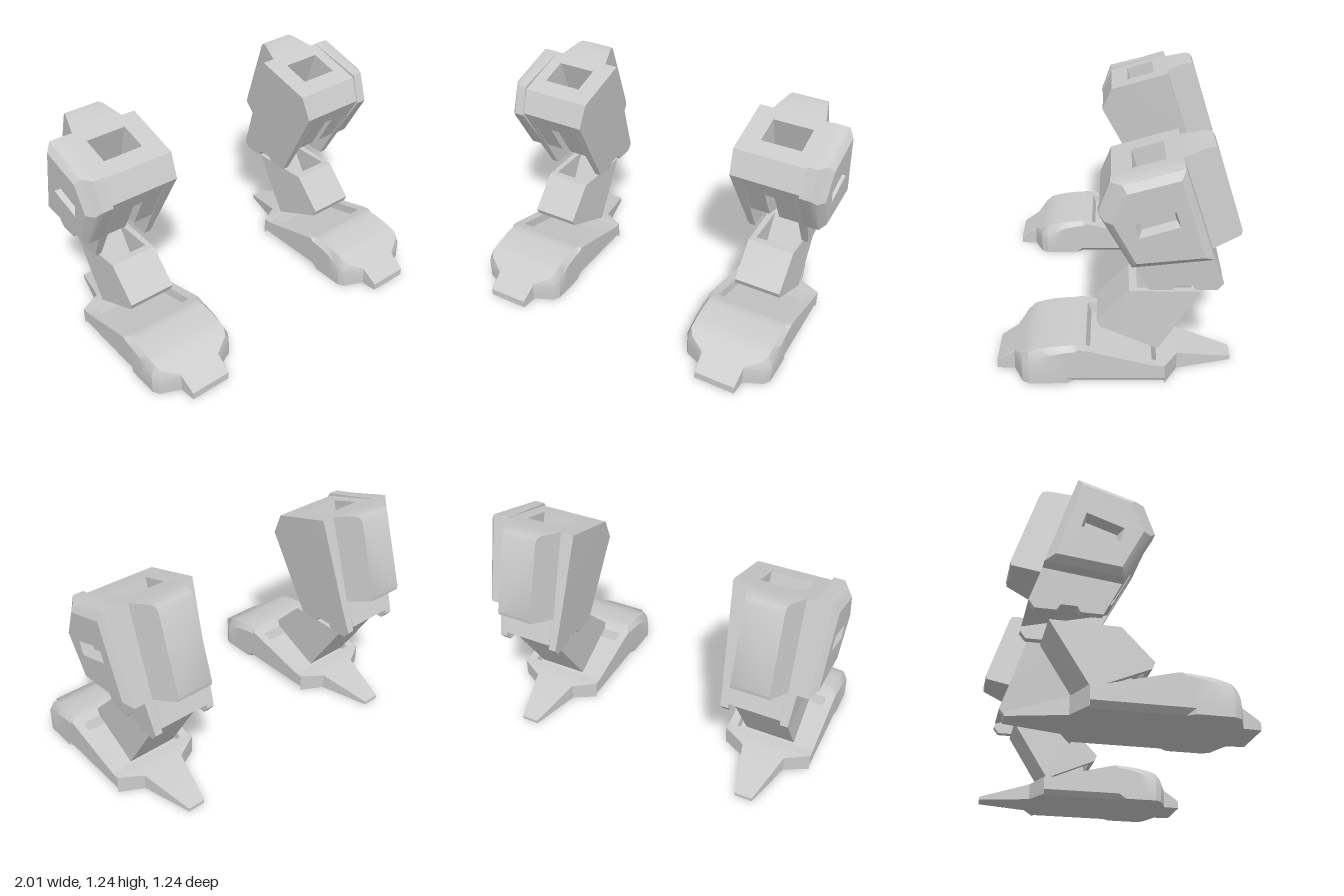
import * as THREE from 'three';
import { toCreasedNormals } from 'three/addons/utils/BufferGeometryUtils.js';

const material = new THREE.MeshStandardMaterial({ color: 0xcccccc });
const LEG_X = 0.69;

// Side profile given as [z, y] points
const shapeOf = (pts) => new THREE.Shape(pts.map(([z, y]) => new THREE.Vector2(-z, y)));

// Side profile extruded from x0 to x1
function slab(pts, x0, x1) {
  const g = new THREE.ExtrudeGeometry(shapeOf(pts), { depth: x1 - x0, bevelEnabled: false });
  return g.rotateY(Math.PI / 2).translate(x0, 0, 0);
}

// Skin over equal-length rings of [x, y, z] points, with optional end caps
function loft(rings, capStart = true, capEnd = true) {
  const out = [];
  const n = rings[0].length;
  const tri = (a, b, c) => out.push(...a, ...b, ...c);
  for (let k = 0; k + 1 < rings.length; k++) {
    for (let i = 0; i < n; i++) {
      const j = (i + 1) % n;
      const [a, b, c, d] = [rings[k][i], rings[k][j], rings[k + 1][j], rings[k + 1][i]];
      tri(a, b, c);
      tri(a, c, d);
    }
  }
  const last = rings[rings.length - 1];
  for (let i = 1; i + 1 < n; i++) {
    if (capStart) tri(rings[0][0], rings[0][i + 1], rings[0][i]);
    if (capEnd) tri(last[0], last[i], last[i + 1]);
  }
  const g = new THREE.BufferGeometry();
  g.setAttribute('position', new THREE.Float32BufferAttribute(out, 3));
  return g;
}

// Moves every vertex by a rule that edits the vector in place
function reshape(g, rule) {
  const p = g.attributes.position;
  const v = new THREE.Vector3();
  for (let i = 0; i < p.count; i++) {
    rule(v.fromBufferAttribute(p, i));
    p.setXYZ(i, v.x, v.y, v.z);
  }
  return g;
}

// Clean, creased geometry; side -1 mirrors it in x and flips the corner order
function finish(g, side) {
  g = g.index ? g.toNonIndexed() : g;
  g.deleteAttribute('uv');
  if (side < 0) {
    const a = g.attributes.position.array;
    for (let i = 0; i < a.length; i += 9) {
      for (let k = 0; k < 3; k++) [a[i + 3 + k], a[i + 6 + k]] = [a[i + 6 + k], a[i + 3 + k]];
      for (let k = 0; k < 9; k += 3) a[i + k] *= -1;
    }
  }
  return toCreasedNormals(g, 0.5);
}

// Foot: stations [z, half width, side height, top height, edge bevel, undercut, socket depth]
function footGeometry() {
  const stations = [
    [-0.61, 0.05, 0.02, 0.02, 0, 0, 0],
    [-0.32, 0.125, 0.093, 0.093, 0, 0, 0],
    [-0.25, 0.255, 0.105, 0.105, 0, 0, 0],
    [-0.249, 0.255, 0.105, 0.105, 0, 0.03, 0],
    [-0.21, 0.255, 0.107, 0.107, 0, 0.03, 0],
    [-0.19, 0.255, 0.11, 0.11, 0, 0.03, 0.05],
    [0.13, 0.255, 0.193, 0.193, 0, 0.03, 0.05],
    [0.15, 0.255, 0.198, 0.198, 0, 0.03, 0],
    [0.185, 0.255, 0.205, 0.207, 0.005, 0.03, 0],
    [0.21, 0.255, 0.19, 0.215, 0.025, 0.03, 0],
    [0.25, 0.255, 0.187, 0.213, 0.025, 0, 0],
    [0.33, 0.255, 0.17, 0.205, 0.025, 0, 0],
    [0.39, 0.255, 0.14, 0.193, 0.025, 0, 0],
    [0.44, 0.255, 0.12, 0.177, 0.025, 0, 0],
    [0.475, 0.235, 0.11, 0.15, 0.025, 0, 0],
    [0.525, 0.125, 0.105, 0.11, 0.005, 0, 0],
    [0.605, 0.12, 0.052, 0.054, 0.002, 0, 0],
    [0.618, 0.118, 0.04, 0.042, 0.002, 0, 0],
  ];
  return loft(stations.map(([z, h, ys, yt, bevel, under, depth]) => {
    const p = Math.min(0.205, h - bevel);
    const half = [[h - under, 0], [h, Math.min(0.03, ys)], [h, ys], [h - bevel, yt], [p, yt], [p * 0.97, yt - depth]];
    const left = half.map(([x, y]) => [-x, y]).reverse();
    return [...half, ...left].map(([x, y]) => [x, y, z]);
  }));
}

// Ankle: a slanted square sleeve, open at top and bottom
function ankleGeometries() {
  const wall = [[-0.07, 0.477], [0.095, 0.303], [0.08, 0.267], [-0.22, 0.135], [-0.43, 0.477]];
  const front = [[-0.07, 0.477], [0.095, 0.303], [0.08, 0.267], [0.05, 0.255], [0.055, 0.3], [-0.11, 0.477]];
  const back = [[-0.43, 0.477], [-0.385, 0.477], [-0.18, 0.153], [-0.22, 0.135]];
  // slight chamfer of the outer corners along the front face
  const chamfer = (v) => {
    if (Math.abs(v.x) > 0.13 && v.z > -0.1) v.x *= 0.95;
  };
  return [
    reshape(slab(wall, -0.143, -0.105), chamfer),
    slab(front, -0.105, 0.105),
    slab(back, -0.105, 0.105),
    reshape(slab(wall, 0.105, 0.143), chamfer),
  ];
}

// Shin: slices across x, giving the side prongs, the top pocket and the front slot
function shinGeometries() {
  const brow = [[0.075, 0.977], [0.02, 1.11]];
  const crown = [-0.32, 1.207];
  const pocket = [[-0.08, 1.139], [-0.18, 0.82], [-0.34, 0.865], [-0.24, 1.184]];
  const under = [[-0.53, 0.575], [-0.08, 0.69]];
  const prong = [...brow, crown, [-0.475, 0.725], [-0.535, 0.55], [-0.505, 0.51],
    [-0.4, 0.51], [-0.38, 0.54], [-0.3, 0.54], [-0.28, 0.51], [-0.17, 0.51]];
  const solid = [...brow, crown, [-0.475, 0.725], ...under];
  const pocketed = [...brow, ...pocket, crown, [-0.475, 0.725], ...under];
  const slotFront = [...brow, pocket[0], [-0.161, 0.88], [0.023, 0.88]];
  const slotBack = [pocket[2], pocket[3], crown, [-0.475, 0.725], under[0], [-0.22, 0.654], [-0.22, 0.833]];
  const taper = (v) => {
    if (Math.abs(v.x) > 0.2) v.x -= Math.sign(v.x) * Math.max(0, 1.15 - v.y) * 0.075;
  };
  const list = [slab(slotFront, -0.028, 0.028), slab(slotBack, -0.028, 0.028)];
  for (const s of [-1, 1]) {
    const slice = (pts, a, b) => list.push(slab(pts, Math.min(s * a, s * b), Math.max(s * a, s * b)));
    slice(pocketed, 0.028, 0.115);
    slice(solid, 0.115, 0.143);
    slice(prong, 0.143, 0.23);
  }
  return list.map((g) => reshape(g, taper));
}

// Calf: block on the sloping back, narrowing outward
function calfGeometry() {
  const profile = [[-0.32, 1.207], [-0.445, 1.243], [-0.475, 1.24], [-0.49, 1.217],
    [-0.622, 0.803], [-0.618, 0.777], [-0.475, 0.727]];
  return reshape(slab(profile, -0.152, 0.152), (v) => {
    const out = -0.952 * (v.z + 0.32) + 0.308 * (v.y - 1.207);
    v.x *= 1 - 2 * Math.max(0, out);
  });
}

// Outer armour: bevelled plate with a sunken slot and a lip around the front corner
function armourGeometries() {
  const lip = [[0.083, 0.965], [-0.08, 0.683], [-0.475, 0.725], [-0.32, 1.209], [0.025, 1.125]];
  const rim = [[0.05, 0.933], [-0.08, 0.683], [-0.475, 0.725], [-0.32, 1.207], [-0.03, 1.123]];
  const face = [[0.01, 0.933], [-0.1, 0.72], [-0.425, 0.753], [-0.3, 1.16], [-0.055, 1.09]];
  const slot = [[-0.09, 0.937], [-0.28, 1.0], [-0.305, 0.92], [-0.11, 0.86]];
  const floor = [[-0.113, 0.928], [-0.275, 0.98], [-0.287, 0.932], [-0.125, 0.88]];
  const lean = (v) => { v.x += 0.05 * (v.y - 1.1); };
  const ring = (pts, x) => pts.map(([z, y]) => [x, y, z]);
  const cover = shapeOf(face);
  cover.holes.push(shapeOf(slot));
  return [
    loft([ring(lip, 0.185), ring(lip, 0.245), ring(rim, 0.278), ring(face, 0.31)], true, false),
    new THREE.ShapeGeometry(cover).rotateY(Math.PI / 2).translate(0.31, 0, 0),
    loft([ring(floor, 0.255), ring(slot, 0.31)], true, false),
  ].map((g) => reshape(g, lean));
}

export function createModel() {
  const model = new THREE.Group();
  model.name = 'lowerLegs';
  for (const side of [1, -1]) {
    const leg = new THREE.Group();
    leg.name = side > 0 ? 'leftLeg' : 'rightLeg';
    leg.position.x = side * LEG_X;
    const parts = {
      foot: [footGeometry()],
      ankle: ankleGeometries(),
      shin: shinGeometries(),
      calf: [calfGeometry()],
      outerArmour: armourGeometries(),
    };
    for (const [name, list] of Object.entries(parts)) {
      const part = new THREE.Group();
      part.name = name;
      list.forEach((g, i) => {
        const mesh = new THREE.Mesh(finish(g, side), material);
        mesh.name = `${name}Piece${i + 1}`;
        part.add(mesh);
      });
      leg.add(part);
    }
    model.add(leg);
  }
  return model;
}
